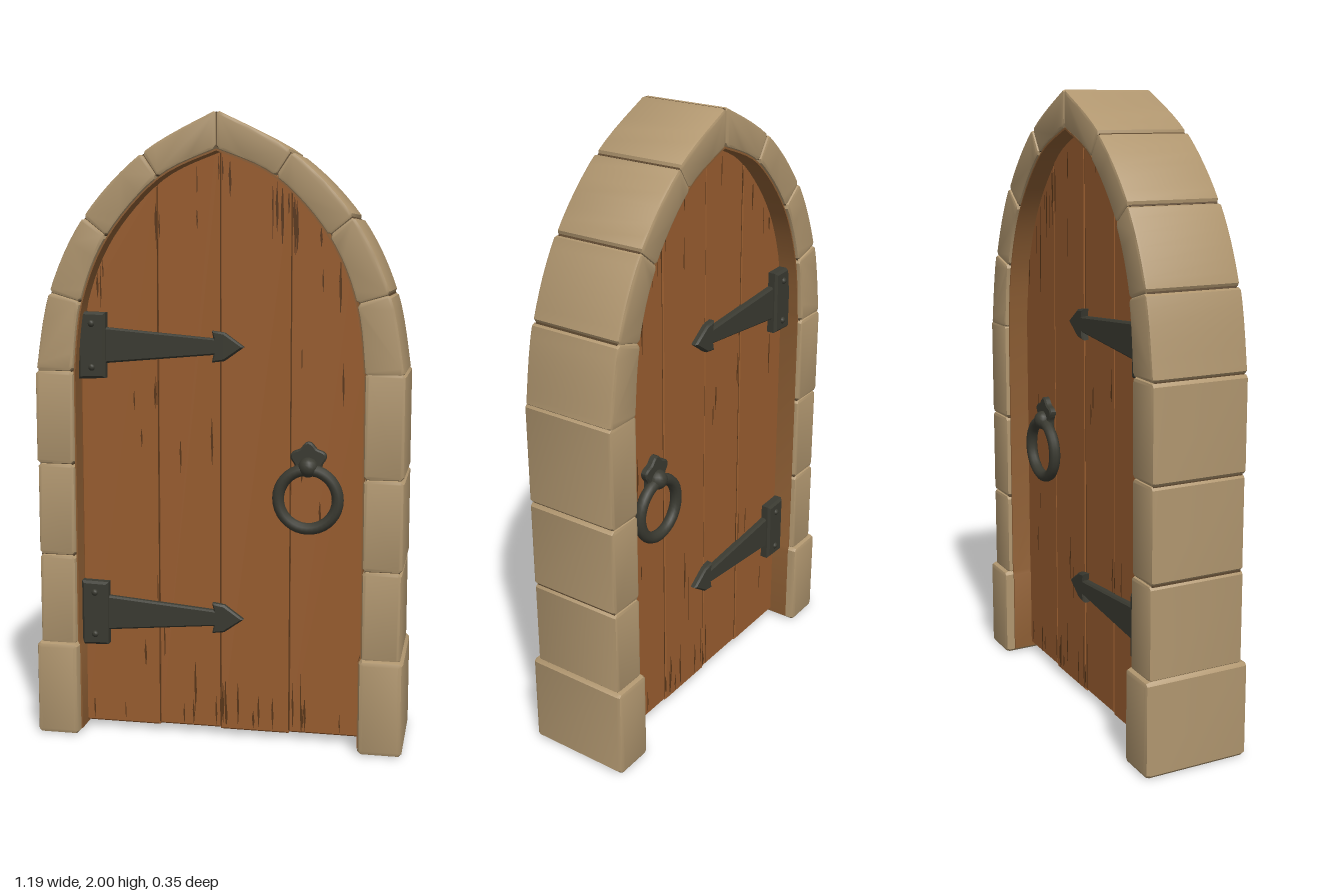
import * as THREE from 'three';
import { toCreasedNormals } from 'three/addons/utils/BufferGeometryUtils.js';

const mat = (name, color, side = THREE.FrontSide) => {
  const m = new THREE.MeshStandardMaterial({ color, side });
  m.name = name;
  return m;
};
const V = (x, y) => new THREE.Vector2(x, y);

// replace every sharp corner of an outline by a short cut
const cutCorners = (pts, c) => pts.flatMap((p, i) => {
  const toA = pts.at(i - 1).clone().sub(p).normalize();
  const toB = pts[(i + 1) % pts.length].clone().sub(p).normalize();
  if (toA.dot(toB) < -0.8) return [p];
  return [p.clone().addScaledVector(toA, c), p.clone().addScaledVector(toB, c)];
});

// slab with softened edges, centred on z, from a 2D outline
const slab = (pts, half, bevel, segments = 1) => {
  const geo = new THREE.ExtrudeGeometry(new THREE.Shape(pts), {
    depth: 2 * (half - bevel), bevelEnabled: bevel > 0, bevelThickness: bevel,
    bevelSize: bevel, bevelOffset: -bevel, bevelSegments: segments, steps: 1,
  });
  geo.translate(0, 0, bevel - half);
  return toCreasedNormals(geo, 0.5);
};

export function createModel() {
  const stone = mat('sandstone', 0xb0966f);
  const reveal = mat('warm shaded stone', 0x8c5d33);
  const mortar = mat('joint shadow', 0x5c472f);
  const wood = mat('wood', 0x995d2f);
  const grain = mat('dark wood grain', 0x5a3719, THREE.DoubleSide);
  const iron = mat('iron', 0x3a3a31);

  let seed = 7;
  const rand = (a, b) => {
    seed = (seed * 16807) % 2147483647;
    return a + (b - a) * (seed / 2147483647);
  };

  const root = new THREE.Group();
  root.name = 'archedDoor';
  const add = (parent, name, geo, material, x = 0, y = 0, z = 0) => {
    const mesh = new THREE.Mesh(geo, material);
    mesh.name = name;
    mesh.position.set(x, y, z);
    parent.add(mesh);
    return mesh;
  };
  const group = (name) => {
    const g = new THREE.Group();
    g.name = name;
    root.add(g);
    return g;
  };

  // outer and inner curves of the right half of the arch; joints fall at t = i / 4
  const outer = new THREE.SplineCurve([V(0.587, 1.2), V(0.54, 1.45), V(0.425, 1.685), V(0.235, 1.88), V(0, 2.006)]);
  const inner = new THREE.SplineCurve([V(0.465, 1.2), V(0.437, 1.42), V(0.35, 1.625), V(0.185, 1.805), V(0, 1.89)]);
  const innerPts = inner.getPoints(24);
  const innerY = (x) => {
    const ax = Math.abs(x);
    for (let i = 0; i < 24; i++) {
      const a = innerPts[i], b = innerPts[i + 1];
      if (ax <= a.x && ax >= b.x) return a.y + (b.y - a.y) * (a.x - ax) / (a.x - b.x);
    }
    return 1.2;
  };

  // stone frame: base blocks, pillar blocks and arch stones on both sides
  const frame = group('stoneFrame');
  for (const s of [-1, 1]) {
    const rows = s < 0 ? [0.3, 0.6, 0.9, 1.2] : [0.3, 0.59, 0.88, 1.21];
    const block = (x0, x1, y0, y1) => cutCorners([V(s * x0, y0), V(s * x1, y0), V(s * x1, y1), V(s * x0, y1)], 0.01);
    add(frame, 'baseBlock', slab(block(0.458, 0.597, 0, 0.308), 0.176, 0.015, 2), stone);
    for (let i = 0; i < 3; i++) {
      const x1 = 0.588 + rand(-0.003, 0.004);
      add(frame, 'pillarBlock', slab(block(0.465, x1, rows[i], rows[i + 1]), 0.158 + rand(-0.002, 0.002), 0.009, 2), stone);
    }
    for (let i = 0; i < 4; i++) {
      const pts = [];
      for (let k = 0; k <= 6; k++) pts.push(outer.getPoint((i + k / 6) / 4));
      for (let k = 6; k >= 0; k--) pts.push(inner.getPoint((i + k / 6) / 4));
      const outline = cutCorners(pts.map((p) => V(s * p.x, p.y)), 0.01);
      add(frame, 'archStone', slab(outline, 0.158 - 0.003 * i, 0.009, 2), stone);
    }
    // dark joints deep in the grooves
    const joints = rows.slice(1, 3).map((y) => [V(0.465, y), V(0.587, y)]);
    for (let i = 0; i < 5; i++) joints.push([inner.getPoint(i / 4), outer.getPoint(i / 4)]);
    joints.forEach(([a, b], i) => {
      const geo = new THREE.BoxGeometry(a.distanceTo(b) - 0.013, 0.006, 0.302 - 0.003 * i);
      const joint = add(frame, 'joint', geo, mortar, s * (a.x + b.x) / 2, (a.y + b.y) / 2, 0);
      joint.rotation.z = Math.atan2(b.y - a.y, s * (b.x - a.x));
    });
  }

  // warm lining of the inner faces of the frame
  const half = [V(0.458, 0.012), V(0.458, 0.295), V(0.465, 0.31), ...innerPts];
  const full = [...half, ...half.slice(0, -1).reverse().map((p) => V(-p.x, p.y))];
  const inset = full.map((p) => V(p.x * 0.99, p.y > 1.2 ? p.y - 0.006 * (p.y - 1.2) / 0.69 : p.y)).reverse();
  add(frame, 'innerLining', slab([...full, ...inset], 0.144, 0), reveal);

  // planks cut to the arch
  const door = group('door');
  const T = 0.08;
  const seams = [-0.462, -0.205, 0, 0.225, 0.462];
  for (let i = 0; i < 4; i++) {
    const a = seams[i], b = seams[i + 1], y0 = 0.02 + 0.004 * (i % 2);
    const pts = [V(a, y0), V(b, y0)];
    for (let k = 0; k <= 10; k++) {
      const x = b + (a - b) * k / 10;
      pts.push(V(x, innerY(x) + 0.004));
    }
    add(door, 'plank', slab(pts, T - 0.002 * (i % 2), 0.005), wood);
  }
  // dark seams between planks and tapered grain streaks on both faces
  for (const x of seams.slice(1, 4)) {
    add(door, 'seam', new THREE.BoxGeometry(0.004, innerY(x) - 0.04, 2 * T - 0.007), grain, x, innerY(x) / 2 + 0.01, 0);
  }
  for (const s of [-1, 1]) {
    for (let i = 0; i < 54; i++) {
      const x = i % 4 ? rand(-0.43, 0.43) : seams[1 + (i / 4) % 3] + rand(-0.02, 0.02);
      const len = rand(0.06, 0.2), w = rand(0.002, 0.005), top = innerY(x) - len - 0.015;
      const y = [rand(0.05, top), 0.028, top][i % 3];
      const streak = new THREE.Shape([V(0, 0), V(w, len * 0.4), V(0, len), V(-w, len * 0.6)]);
      add(door, 'grainStreak', new THREE.ShapeGeometry(streak), grain, x, y, s * (T + 0.001));
    }
  }

  // iron fittings on the front and back
  const fittings = group('ironFittings');
  const strap = [V(-0.38, -0.058), V(-0.02, -0.026), V(-0.025, -0.05), V(0.015, -0.045), V(0.078, 0),
    V(0.015, 0.045), V(-0.025, 0.05), V(-0.02, 0.026), V(-0.38, 0.058)];
  const plate = [V(-0.46, -0.108), V(-0.372, -0.105), V(-0.37, 0.105), V(-0.46, 0.108)];
  const rivet = new THREE.SphereGeometry(0.012, 10, 6);
  const lobes = [];
  for (let k = 0; k < 40; k++) {
    const a = k / 40 * Math.PI * 2, r = 0.053 + 0.007 * Math.cos(5 * (a - Math.PI / 2));
    lobes.push(V(r * Math.cos(a), r * Math.sin(a)));
  }
  for (const s of [-1, 1]) {
    for (const y of [0.398, 1.28]) {
      add(fittings, 'hingePlate', slab(plate, 0.025, 0.008), iron, 0, y, s * (T + 0.008));
      add(fittings, 'hingeStrap', slab(strap, 0.016, 0.006), iron, 0, y, s * (T + 0.004));
      for (const dy of [-0.07, 0.07]) add(fittings, 'rivet', rivet, iron, -0.415, y + dy, s * (T + 0.03));
    }
    // lobed mount, knuckle and pull ring
    add(fittings, 'ringMount', slab(lobes, 0.014, 0.005), iron, 0.285, 0.925, s * (T + 0.005));
    add(fittings, 'ringKnuckle', new THREE.SphereGeometry(0.032, 14, 10), iron, 0.285, 0.905, s * (T + 0.018));
    add(fittings, 'pullRing', new THREE.TorusGeometry(0.095, 0.019, 10, 36), iron, 0.285, 0.803, s * (T + 0.02));
  }
  return root;
}
